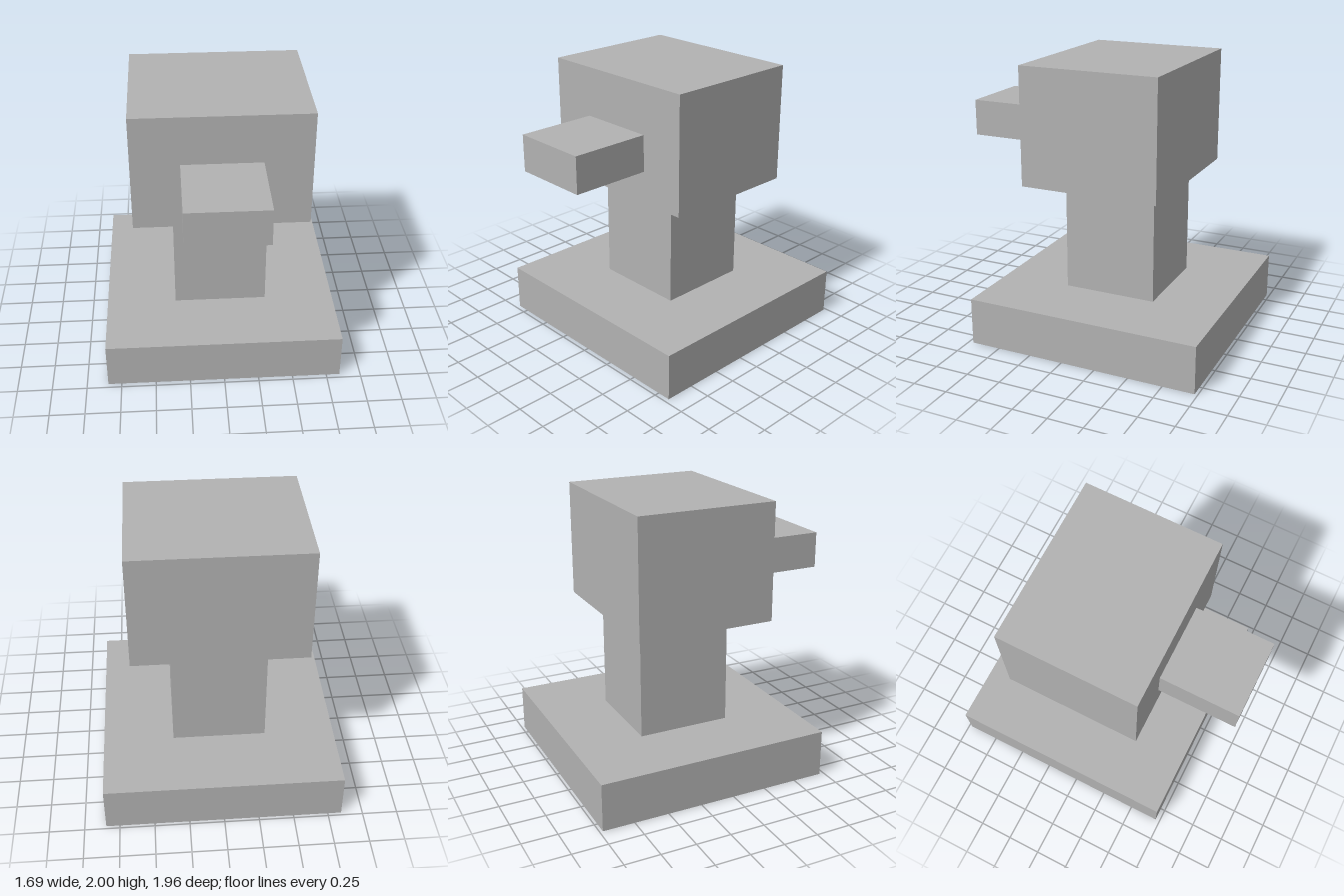
import * as THREE from 'three';

export function createModel() {
  const model = new THREE.Group();
  const grey = new THREE.MeshStandardMaterial({ color: 0xb2b2b2 });
  grey.name = 'grey';

  // Box given by its half width and its bottom/top and back/front limits
  function block(name, halfWidth, [bottom, top], [back, front]) {
    const mesh = new THREE.Mesh(
      new THREE.BoxGeometry(halfWidth * 2, top - bottom, front - back), grey);
    mesh.position.set(0, (bottom + top) / 2, (back + front) / 2);
    mesh.name = name;
    model.add(mesh);
  }

  block('base', 0.847, [0, 0.34], [-0.978, 0.716]);
  block('column', 0.338, [0.34, 1.158], [-0.469, 0.207]);
  block('head', 0.614, [1.158, 2], [-0.594, 0.406]);
  block('snout', 0.279, [1.387, 1.648], [0.406, 0.978]);

  return model;
}
